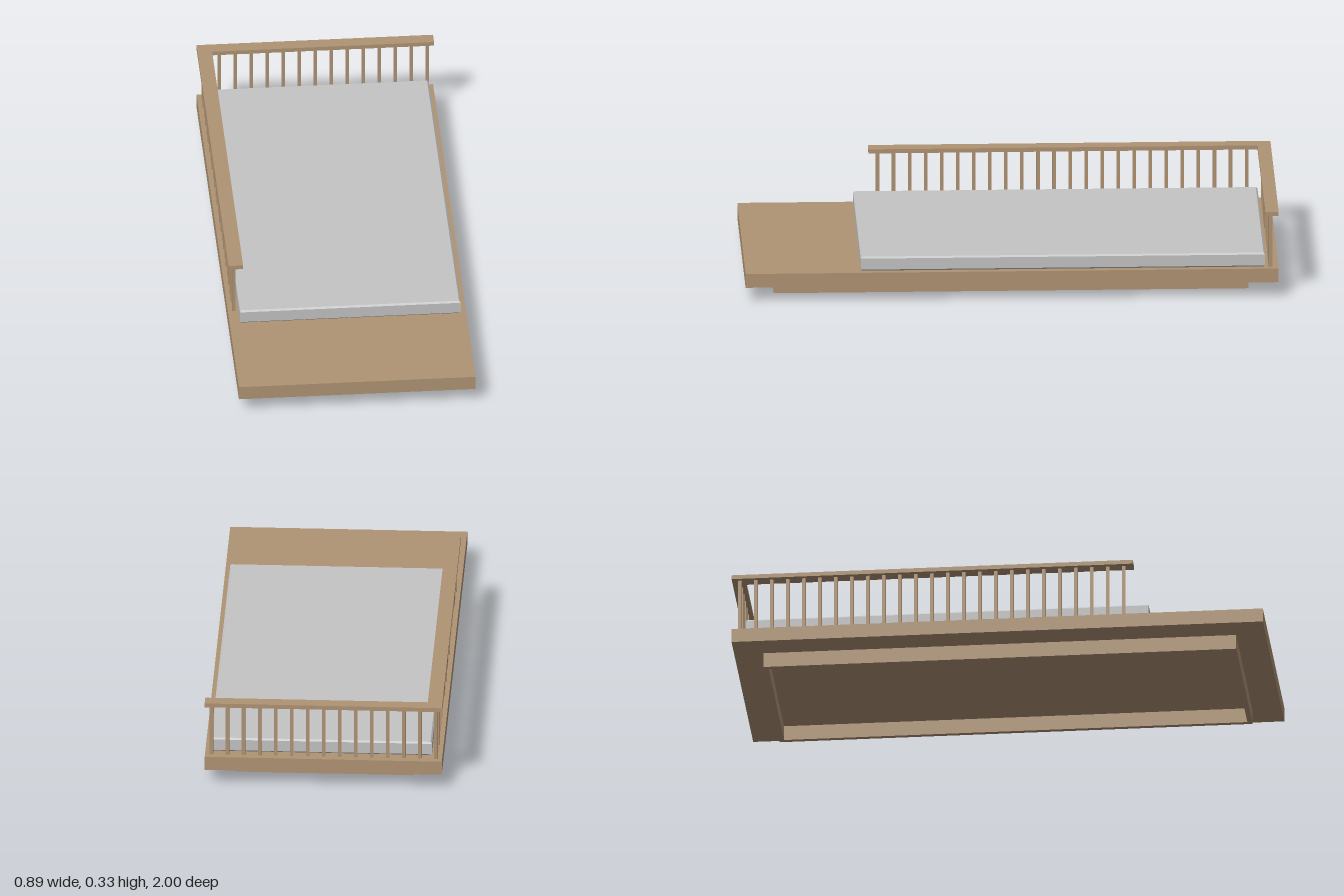
import * as THREE from 'three';

export function createModel() {
  const model = new THREE.Group();
  const wood = new THREE.MeshStandardMaterial({ color: 0xb09474 });
  wood.name = 'wood';
  const fabric = new THREE.MeshStandardMaterial({ color: 0xc4c4c4 });
  fabric.name = 'mattressGrey';

  // Box given by its minimum and maximum on each axis
  function box(name, [x0, x1], [y0, y1], [z0, z1], parent = model) {
    const mesh = new THREE.Mesh(new THREE.BoxGeometry(x1 - x0, y1 - y0, z1 - z0), wood);
    mesh.position.set((x0 + x1) / 2, (y0 + y1) / 2, (z0 + z1) / 2);
    mesh.name = name;
    parent.add(mesh);
  }

  // Hollow plinth of four boards, open underneath
  const px = 0.335, pz = 0.89, t = 0.018, plinthTop = 0.057;
  const plinth = new THREE.Group();
  plinth.name = 'plinth';
  model.add(plinth);
  for (const s of [-1, 1]) {
    const span = (a, b) => (s > 0 ? [a, b] : [-b, -a]);
    box('plinthSide', span(px - t, px), [0, plinthTop], [-pz, pz], plinth);
    box('plinthEnd', [-px + t, px - t], [0, plinthTop], span(pz - t, pz), plinth);
  }

  // Platform
  const deckTop = 0.111;
  box('platform', [-0.445, 0.445], [plinthTop, deckTop], [-1, 1]);

  // Mattress with small chamfers on all edges
  const c = 0.006, x0 = -0.406, x1 = 0.424, z0 = -0.95, z1 = 0.567, h = 0.055;
  const outline = new THREE.Shape([
    new THREE.Vector2(x0 + c, -z1 + c), new THREE.Vector2(x1 - c, -z1 + c),
    new THREE.Vector2(x1 - c, -z0 - c), new THREE.Vector2(x0 + c, -z0 - c),
  ]);
  const mattressGeometry = new THREE.ExtrudeGeometry(outline, {
    depth: h - 2 * c, bevelEnabled: true, bevelSegments: 1, bevelSize: c, bevelThickness: c,
  });
  mattressGeometry.rotateX(-Math.PI / 2);
  const mattress = new THREE.Mesh(mattressGeometry, fabric);
  mattress.position.y = deckTop + c;
  mattress.name = 'mattress';
  model.add(mattress);

  // Handrails along the right side and the back
  const railY = [0.317, 0.333];
  box('sideRail', [-0.445, -0.39], railY, [-1, 0.51]);
  box('backRail', [-0.39, 0.445], railY, [-1, -0.95]);

  // Square balusters, evenly spaced from the shared back corner
  const balusters = new THREE.Group();
  balusters.name = 'balusters';
  model.add(balusters);
  const r = 0.0065, cornerX = -0.422, cornerZ = -0.97, step = 0.0602;
  const baluster = (x, z) =>
    box('baluster', [x - r, x + r], [deckTop, railY[0]], [z - r, z + r], balusters);
  for (let i = 0; i < 15; i++) baluster(cornerX + i * step, cornerZ);
  for (let i = 1; i < 25; i++) baluster(cornerX, cornerZ + i * step);

  return model;
}
